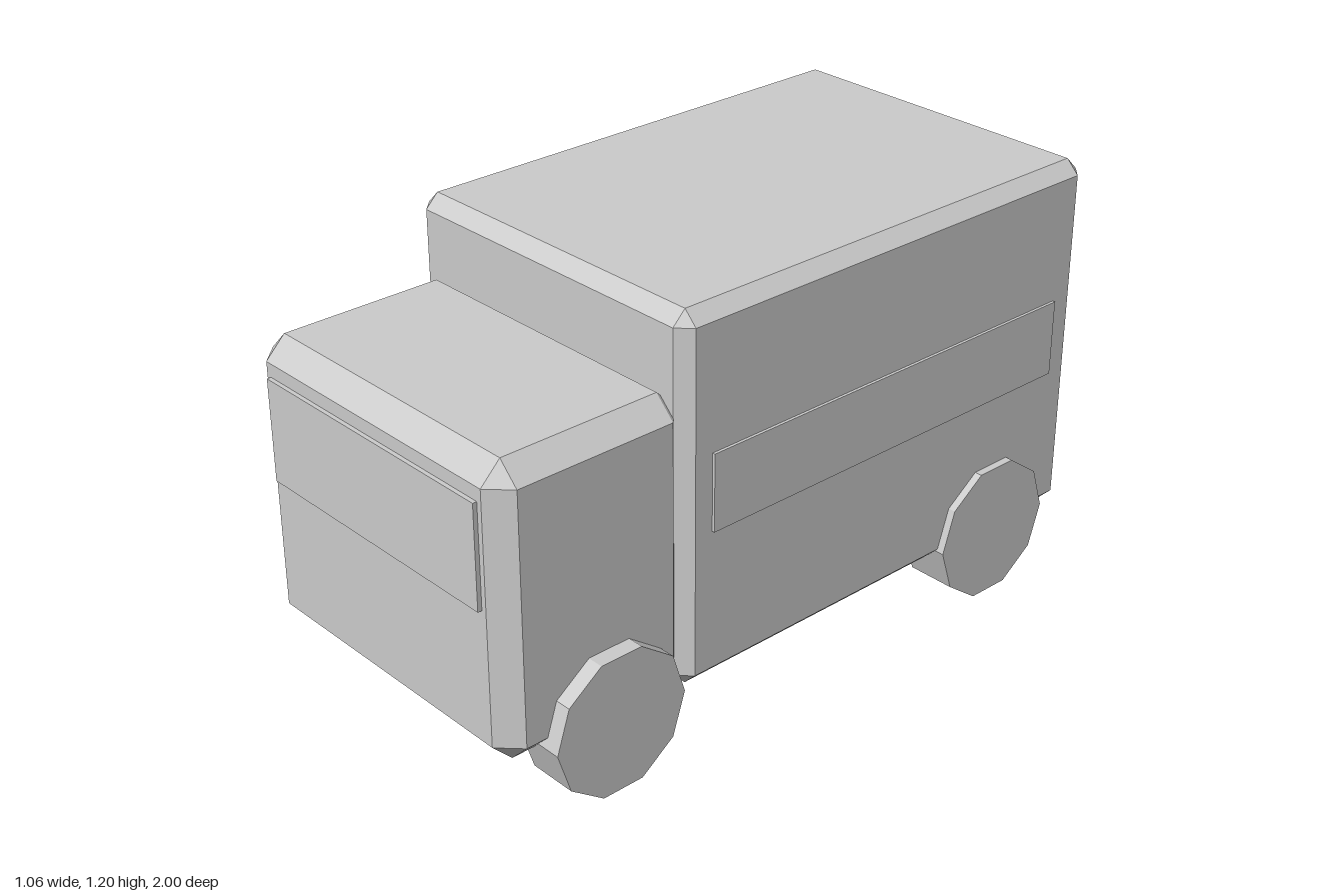
import * as THREE from 'three';
import { ConvexGeometry } from 'three/addons/geometries/ConvexGeometry.js';

// Box with every edge chamfered by c and a small triangle at each corner
function chamferBox(min, max, c) {
  const points = [];
  const mid = min.map((v, i) => (v + max[i]) / 2);
  const half = min.map((v, i) => (max[i] - v) / 2);
  for (const sx of [-1, 1]) for (const sy of [-1, 1]) for (const sz of [-1, 1]) {
    const sign = [sx, sy, sz];
    for (let full = 0; full < 3; full++) {
      const p = sign.map((s, i) => mid[i] + s * (half[i] - (i === full ? 0 : c)));
      points.push(new THREE.Vector3(...p));
    }
  }
  return new ConvexGeometry(points);
}

function box(min, max) {
  const geometry = new THREE.BoxGeometry(...min.map((v, i) => max[i] - v));
  return geometry.translate(...min.map((v, i) => (v + max[i]) / 2));
}

export function createModel() {
  const group = new THREE.Group();
  const grey = new THREE.MeshStandardMaterial({ color: 0xcccccc, flatShading: true });
  grey.name = 'light grey';

  const add = (name, geometry) => {
    const mesh = new THREE.Mesh(geometry, grey);
    mesh.name = name;
    group.add(mesh);
    return mesh;
  };

  // Body
  add('cargoBox', chamferBox([-0.508, 0.163, -1], [0.508, 1.2, 0.451], 0.038));
  add('cab', chamferBox([-0.484, 0.163, 0.405], [0.484, 0.983, 0.988], 0.058));

  // Windscreen plate
  add('windscreen', box([-0.411, 0.598, 0.985], [0.411, 0.887, 1]));

  // Side panels and wheels, mirrored left and right
  const wheelGeometry = new THREE.CylinderGeometry(0.204, 0.204, 0.14, 10).rotateZ(Math.PI / 2);
  for (const [side, s] of [['left', 1], ['right', -1]]) {
    add(side + 'Panel', box([s * 0.511 - 0.005, 0.598, -0.9], [s * 0.511 + 0.005, 0.815, 0.358]));
    for (const [end, z] of [['Front', 0.671], ['Rear', -0.686]]) {
      add(side + end + 'Wheel', wheelGeometry).position.set(s * 0.46, 0.194, z);
    }
  }
  return group;
}
